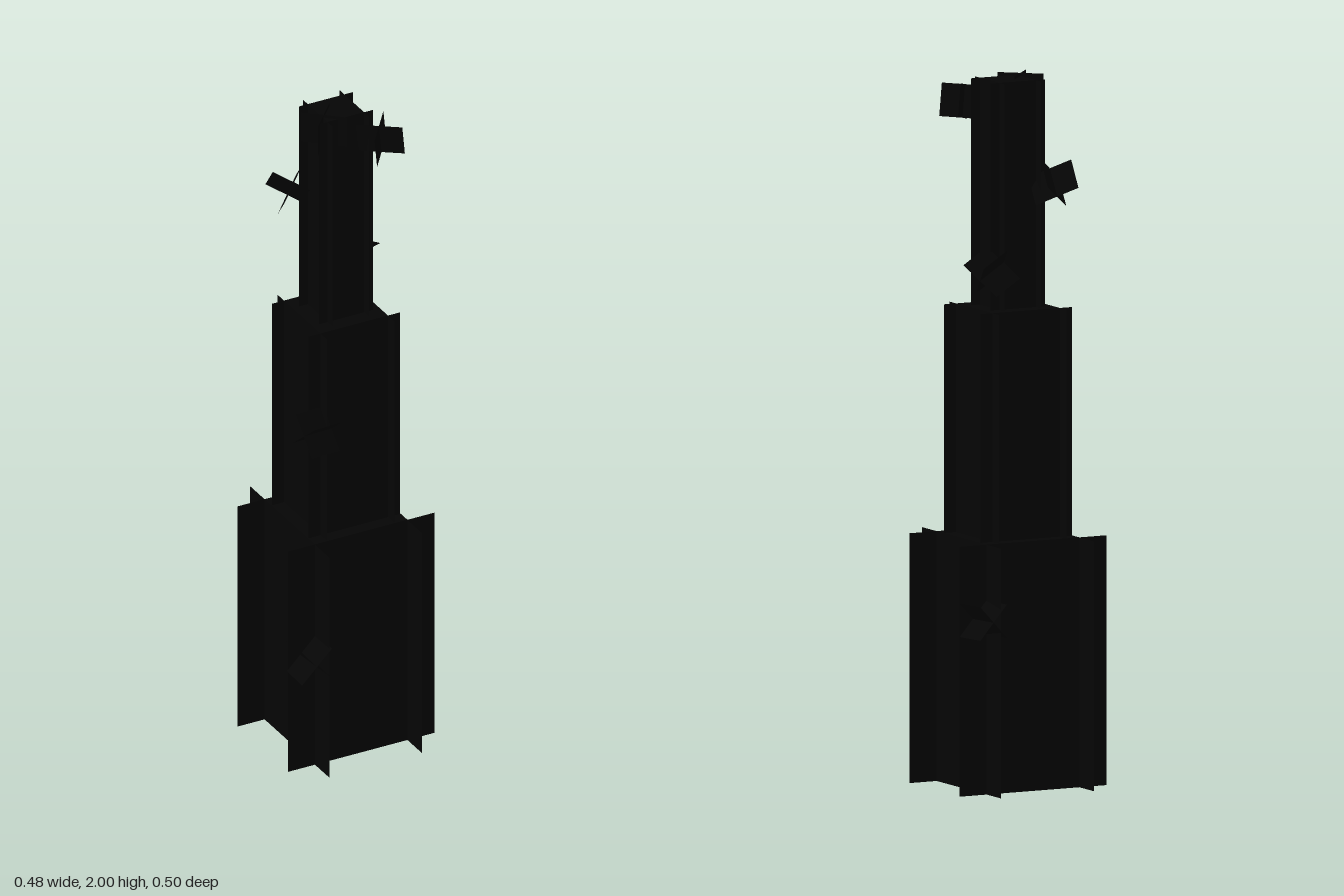
import * as THREE from 'three';

export function createModel() {
  const group = new THREE.Group();
  group.name = 'segmentedStalk';
  const black = new THREE.MeshStandardMaterial({ color: 0x050505, side: THREE.DoubleSide });
  black.name = 'black';

  function sheet(parent, name, w, h, pos, rot = [0, 0, 0]) {
    const mesh = new THREE.Mesh(new THREE.PlaneGeometry(w, h), black);
    mesh.name = name;
    mesh.position.set(...pos);
    mesh.rotation.set(...rot);
    parent.add(mesh);
  }

  // Stacked segments: four walls that overrun the corners, plus end caps
  // [bottom, top, wall offset from centre, wall half width]
  const segments = [
    [0, 0.705, 0.147, 0.233],
    [0.705, 1.35, 0.107, 0.145],
    [1.35, 1.99, 0.058, 0.086],
  ];
  const stalk = new THREE.Group();
  stalk.name = 'stalk';
  stalk.position.set(-0.004, 0, 0.004);
  group.add(stalk);
  for (const [y0, y1, inset, half] of segments) {
    const segment = new THREE.Group();
    segment.name = 'segment';
    stalk.add(segment);
    const y = (y0 + y1) / 2, h = y1 - y0;
    for (const s of [1, -1]) {
      sheet(segment, 'wallAcross', half * 2, h, [0, y, s * inset], [0, s > 0 ? 0 : Math.PI, 0]);
      sheet(segment, 'wallAlong', half * 2, h, [s * inset, y, 0], [0, s * Math.PI / 2, 0]);
      sheet(segment, 'cap', inset * 2, inset * 2, [0, s > 0 ? y1 : y0, 0], [-s * Math.PI / 2, 0, 0]);
    }
  }

  // Small crossed-leaf sprouts tucked into the corner notches: [position, rotation]
  const X = Math.PI / 2;
  const sprouts = [
    [[-0.194, 0.37, 0.197], [X, 0, 0.02]],
    [[0.182, 0.5, -0.196], [X, 0, -0.17]],
    [[-0.146, 1.065, 0.157], [0.08, 0.1, X - 0.05]],
    [[0.098, 1.465, -0.09], [0, 0.15, X - 0.5]],
    [[-0.092, 1.705, -0.1], [0.7, 0, 0.1]],
    [[0.08, 1.92, 0.108], [0.1, 0.1, 0.15]],
    [[-0.06, 1.952, 0.035], [0, 0.05, 0]],
  ];
  const size = 0.094;
  for (const [pos, rot] of sprouts) {
    const sprout = new THREE.Group();
    sprout.name = 'sprout';
    sprout.position.set(...pos);
    sprout.rotation.set(...rot);
    for (const a of [1, -1]) {
      sheet(sprout, 'leaf', size * Math.SQRT2, size, [0, 0, 0], [0, a * Math.PI / 4, 0]);
    }
    group.add(sprout);
  }
  return group;
}
